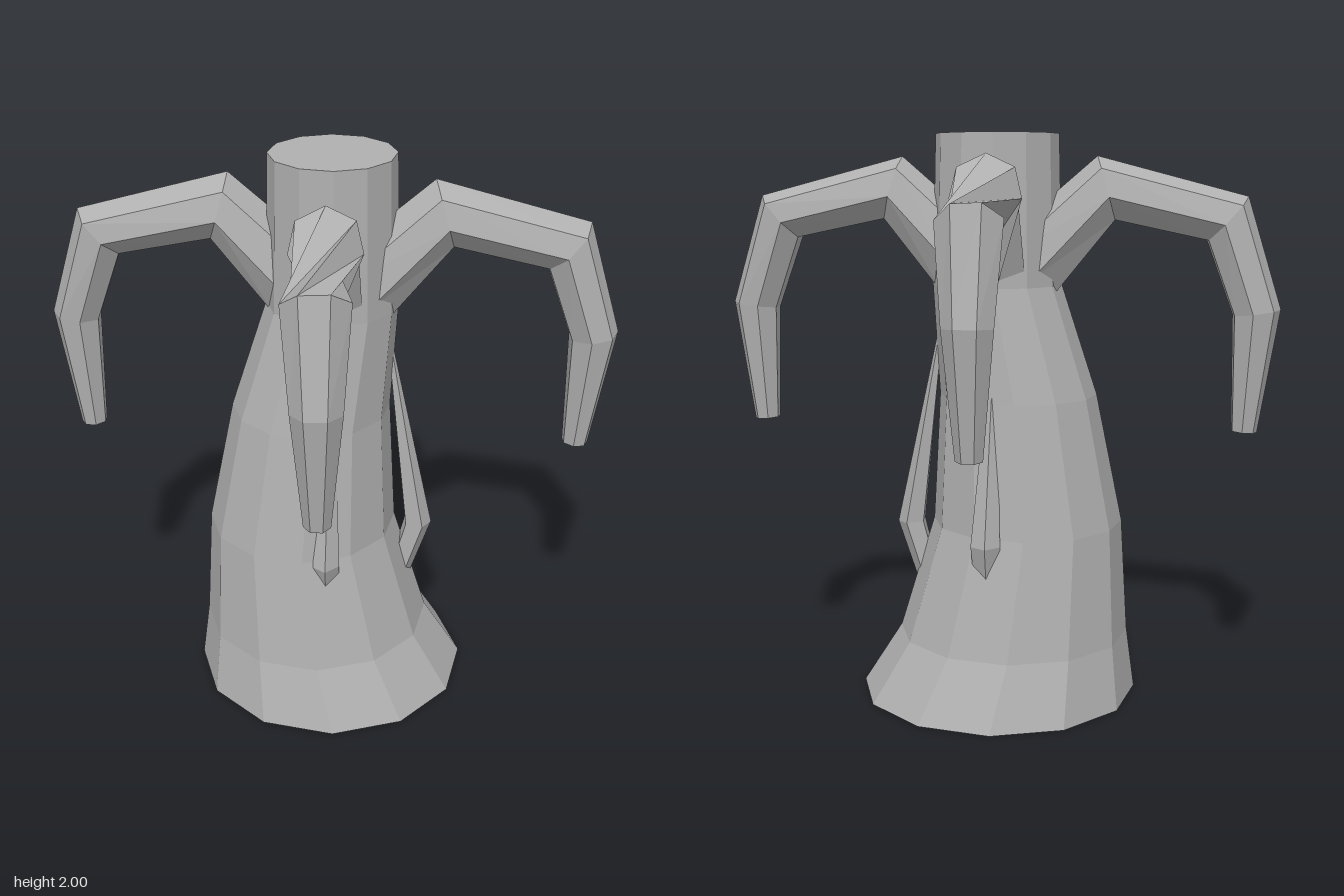
import * as THREE from 'three';

// Faceted skin over rings [x, y, z, radius, twist]; rings follow the path bend in the xy plane
function loft(rings, sides, flat = false) {
  const pts = rings.map(([x, y, z, r, twist = 0], k) => {
    const dir = (i, j) => new THREE.Vector2(rings[j][0] - rings[i][0], rings[j][1] - rings[i][1]).normalize();
    const t = new THREE.Vector2();
    if (k > 0) t.add(dir(k - 1, k));
    if (k < rings.length - 1) t.add(dir(k, k + 1));
    t.normalize();
    if (flat) t.set(0, 1);
    return Array.from({ length: sides }, (_, i) => {
      const a = (i / sides) * Math.PI * 2 + twist;
      return [x - t.y * r * Math.cos(a), y + t.x * r * Math.cos(a), z + r * Math.sin(a)];
    });
  });
  const pos = [];
  const tri = (a, b, c) => pos.push(...a, ...b, ...c);
  for (let k = 0; k < pts.length - 1; k++) {
    for (let i = 0; i < sides; i++) {
      const j = (i + 1) % sides;
      tri(pts[k][i], pts[k][j], pts[k + 1][j]);
      tri(pts[k][i], pts[k + 1][j], pts[k + 1][i]);
    }
  }
  // End caps
  const last = pts.length - 1;
  for (let i = 1; i < sides - 1; i++) {
    tri(pts[0][0], pts[0][i + 1], pts[0][i]);
    tri(pts[last][0], pts[last][i], pts[last][i + 1]);
  }
  const g = new THREE.BufferGeometry();
  g.setAttribute('position', new THREE.Float32BufferAttribute(pos, 3));
  g.computeVertexNormals();
  return g;
}

export function createModel() {
  const model = new THREE.Group();
  model.name = 'droopingTree';
  const bark = new THREE.MeshStandardMaterial({ color: 0xb0b0b0, flatShading: true });
  bark.name = 'greyBark';

  const add = (name, geometry, turn = 0) => {
    const mesh = new THREE.Mesh(geometry, bark);
    mesh.name = name;
    mesh.rotation.y = turn;
    model.add(mesh);
  };

  // Leaning trunk with a flared foot
  add('trunk', loft([
    [0, 0, 0, 0.5],
    [-0.055, 0.22, 0, 0.415],
    [-0.105, 0.63, 0, 0.34],
    [-0.07, 1.09, 0, 0.28],
    [0.005, 1.48, 0, 0.228],
    [0.005, 2, 0, 0.215],
  ], 12, true));

  // Long side branches, arching out and hanging down
  const sideBranch = loft([
    [0.1, 1.53, 0.02, 0.14],
    [0.375, 1.81, 0.045, 0.118],
    [0.785, 1.71, 0.08, 0.105],
    [0.89, 1.395, 0.1, 0.085],
    [0.862, 0.978, 0.09, 0.046],
  ], 7);
  add('leftBranch', sideBranch, 0);
  add('rightBranch', sideBranch, Math.PI);

  // Shorter front and back branches, wrung at the shoulder
  const wring = 1.4;
  const twistedBranch = loft([
    [0.1, 1.53, 0, 0.14, -wring],
    [0.36, 1.81, 0.02, 0.122, 0],
    [0.605, 1.71, 0.05, 0.112, wring],
    [0.68, 1.395, 0.05, 0.085, wring],
    [0.648, 0.978, 0.05, 0.046, wring],
  ], 7);
  add('frontBranch', twistedBranch, -Math.PI / 2);
  add('backBranch', twistedBranch, Math.PI / 2);

  // Slender roots clinging to the trunk
  const root = (out, endX, endY) => loft([
    [0.2, 1.36, 0, 0.006],
    [out, 0.61, 0.025, 0.053],
    [endX, endY, 0.02, 0.04],
  ], 5);
  add('leftRoot', root(0.318, 0.24, 0.34));
  add('frontRoot', root(0.312, 0.25, 0.4), -Math.PI / 2);
  add('backRoot', root(0.312, 0.26, 0.38), Math.PI / 2);

  return model;
}
